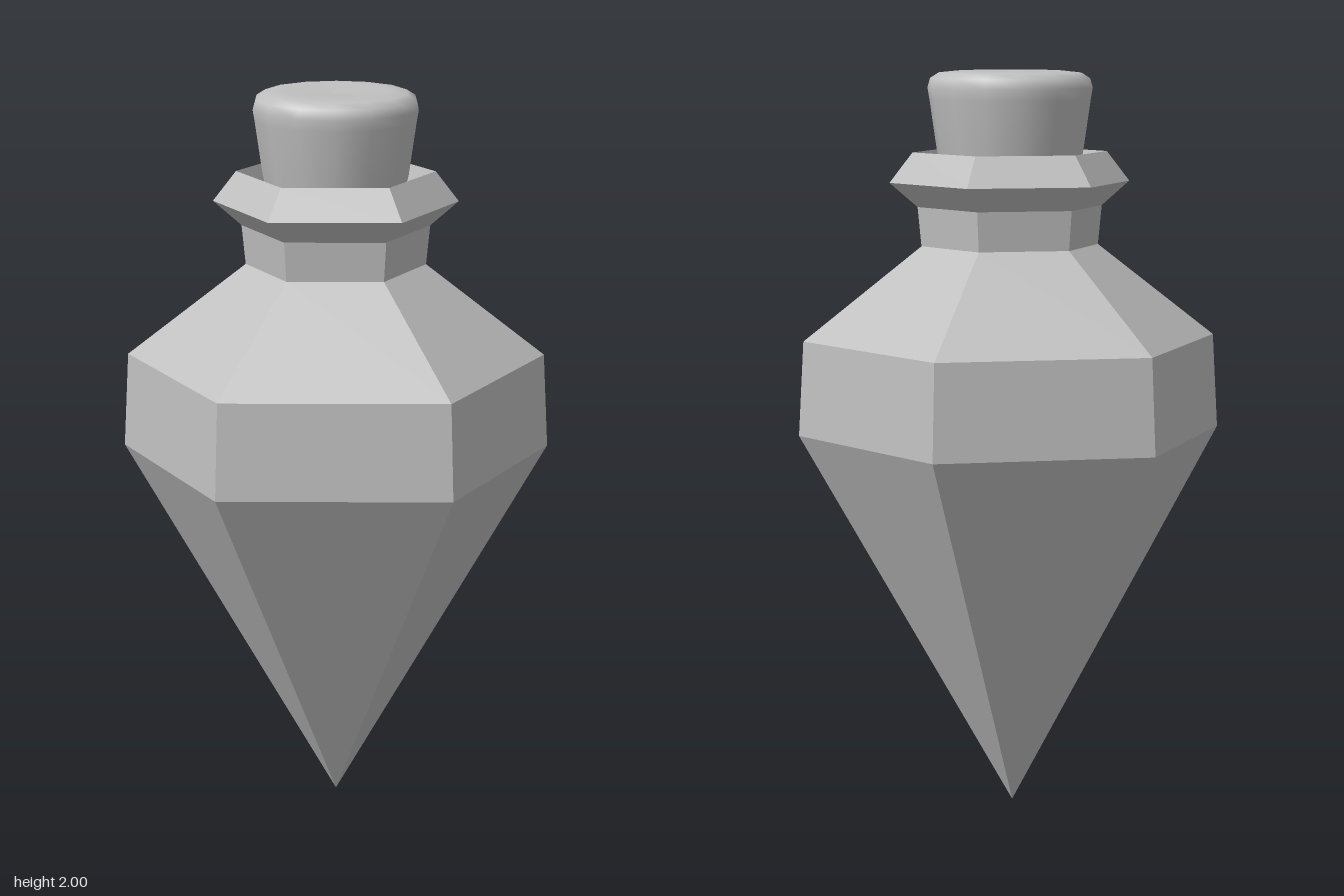
import * as THREE from 'three';

// slightly uneven hexagon shared by every ring of the bottle, as [x, z]
const HEX = [[1, -0.015], [0.525, 0.86], [-0.525, 0.86], [-1, -0.015], [-0.525, -0.845], [0.475, -0.87]];

// joins hexagonal rings, each [radius, height, z offset], into a faceted skin
function hexSkin(rings) {
  const pos = [];
  const corner = ([r, y, dz = 0], i) => [HEX[i % 6][0] * r, y, HEX[i % 6][1] * r + dz];
  for (let k = 0; k < rings.length - 1; k++) {
    const low = rings[k], high = rings[k + 1];
    for (let i = 0; i < 6; i++) {
      const a = corner(low, i), b = corner(high, i), c = corner(high, i + 1), d = corner(low, i + 1);
      if (high[0] > 0) pos.push(...a, ...b, ...c);
      if (low[0] > 0) pos.push(...a, ...c, ...d);
    }
  }
  const g = new THREE.BufferGeometry();
  g.setAttribute('position', new THREE.Float32BufferAttribute(pos, 3));
  g.computeVertexNormals();
  return g;
}

export function createModel() {
  const group = new THREE.Group();
  group.name = 'potionBottle';
  const grey = new THREE.MeshStandardMaterial({ color: 0xc0c0c0 });
  grey.name = 'grey';

  const add = (name, geometry) => {
    const mesh = new THREE.Mesh(geometry, grey);
    mesh.name = name;
    group.add(mesh);
    return mesh;
  };

  // pointed body with sloping shoulder
  add('body', hexSkin([[0, 0, -0.035], [0.575, 1.03, 0.002], [0.56, 1.285, 0.002], [0.24, 1.535, 0.005]]));

  // neck and flared collar
  add('neck', hexSkin([[0.24, 1.535, 0.005], [0.25, 1.64, 0.005]]));
  add('collar', hexSkin([[0.25, 1.64, 0.005], [0.325, 1.705, 0.005], [0.263, 1.785, 0.005]]));

  // inside of the mouth, closed below the cork
  add('mouth', hexSkin([[0.263, 1.785, 0.005], [0.215, 1.65, 0.005], [0, 1.64, 0.005]]));

  // tapered cork with a rounded, slightly dished top
  const profile = [[0, 1.65], [0.165, 1.65], [0.165, 1.65], [0.196, 1.785], [0.216, 1.925], [0.221, 1.955],
    [0.214, 1.98], [0.19, 1.995], [0.14, 2.0], [0, 1.99]].map(([r, y]) => new THREE.Vector2(r, y));
  const cork = add('cork', new THREE.LatheGeometry(profile, 14));
  cork.position.z = 0.006;

  return group;
}
